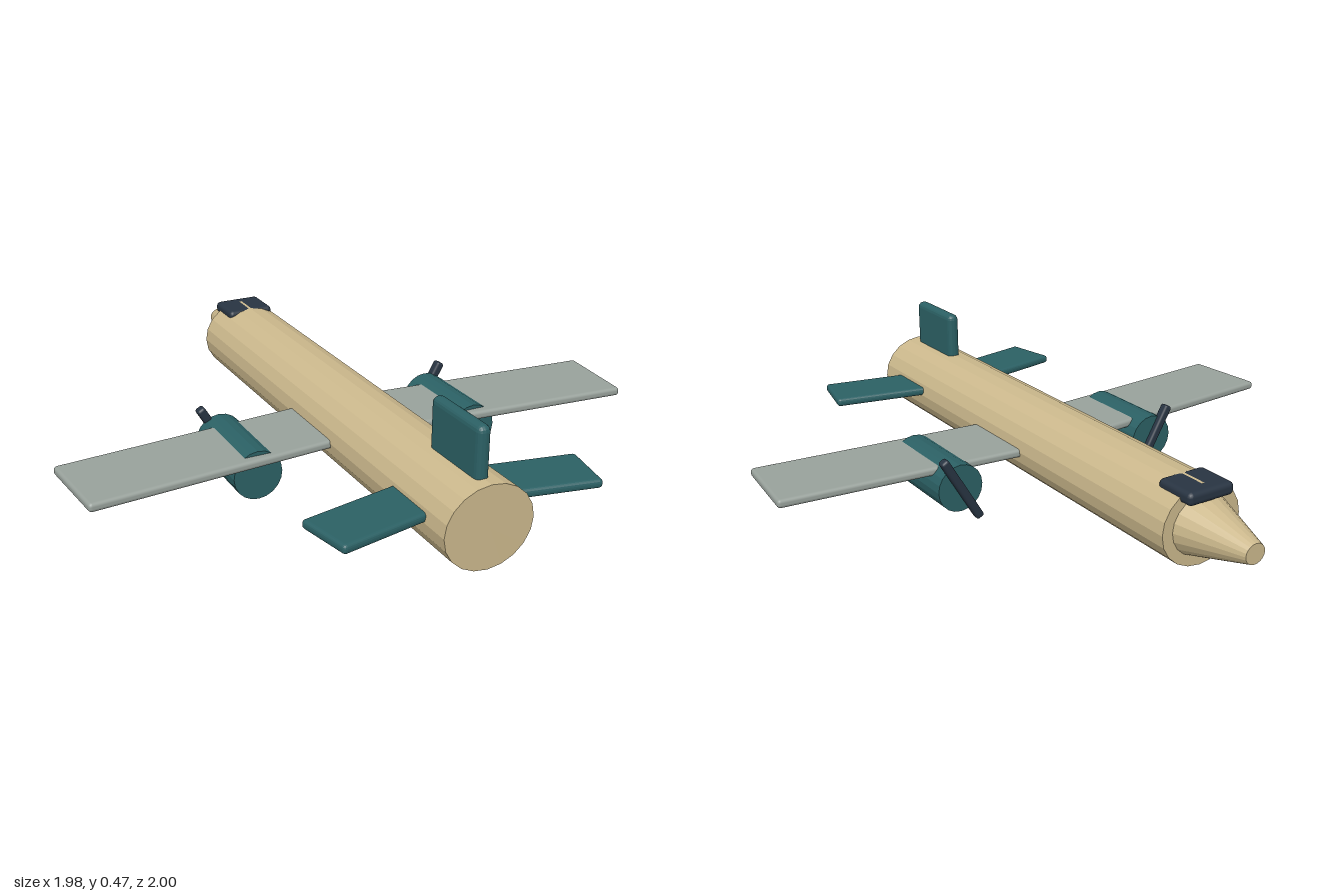
import * as THREE from 'three';
import { RoundedBoxGeometry } from 'three/addons/geometries/RoundedBoxGeometry.js';

const paint = (name, color, flatShading = false) => {
  const m = new THREE.MeshStandardMaterial({ color, flatShading });
  m.name = name;
  return m;
};

export function createModel() {
  const tan = paint('tan', 0xcbb88c, true);
  const teal = paint('teal', 0x2b6064, true);
  const grey = paint('grey', 0x98a19b);
  const navy = paint('navy', 0x283442);

  const plane = new THREE.Group();
  plane.name = 'propellerPlane';

  const add = (name, geometry, material, x, y, z, parent = plane) => {
    const mesh = new THREE.Mesh(geometry, material);
    mesh.name = name;
    mesh.position.set(x, y, z);
    parent.add(mesh);
    return mesh;
  };

  // Cylinder along z, spanning z0 (radius r0) to z1 (radius r1)
  const tube = (name, material, r0, r1, z0, z1, sides, x, y, squash = 1) => {
    const g = new THREE.CylinderGeometry(r1, r0, z1 - z0, sides);
    g.rotateX(Math.PI / 2).scale(1, squash, 1);
    return add(name, g, material, x, y, (z0 + z1) / 2);
  };

  const slab = (name, material, w, h, d, r, x, y, z) =>
    add(name, new RoundedBoxGeometry(w, h, d, 2, r), material, x, y, z);

  // Slightly flattened fuselage with a stepped nose cone
  const midY = 0.183;
  tube('fuselage', tan, 0.15, 0.15, -0.765, 1, 20, 0, midY, 0.9);
  tube('noseCone', tan, 0.037, 0.113, -1, -0.76, 20, 0, midY, 0.9).geometry;

  // Cockpit canopy and tail fin
  slab('cockpit', navy, 0.174, 0.043, 0.152, 0.016, 0, 0.2958, -0.734);
  slab('tailFin', teal, 0.044, 0.257, 0.26, 0.02, 0, 0.349, 0.83);

  for (const s of [1, -1]) {
    const side = s > 0 ? 'left' : 'right';

    // Swept wing and tailplane
    slab(side + 'Wing', grey, 0.9, 0.03, 0.3, 0.012, s * 0.532, 0.178, 0.193).rotation.y = -s * 0.087;
    slab(side + 'Tailplane', teal, 0.4, 0.03, 0.195, 0.012, s * 0.2585, 0.198, 0.82).rotation.y = -s * 0.2;

    // Engine slung through the wing, with a two-bladed propeller
    tube(side + 'Engine', teal, 0.083, 0.083, -0.02, 0.303, 20, s * 0.4, 0.124);
    slab(side + 'Propeller', navy, 0.03, 0.265, 0.034, 0.009, s * 0.4, 0.123, -0.025).rotation.z = -s * Math.PI / 6;
  }

  return plane;
}
